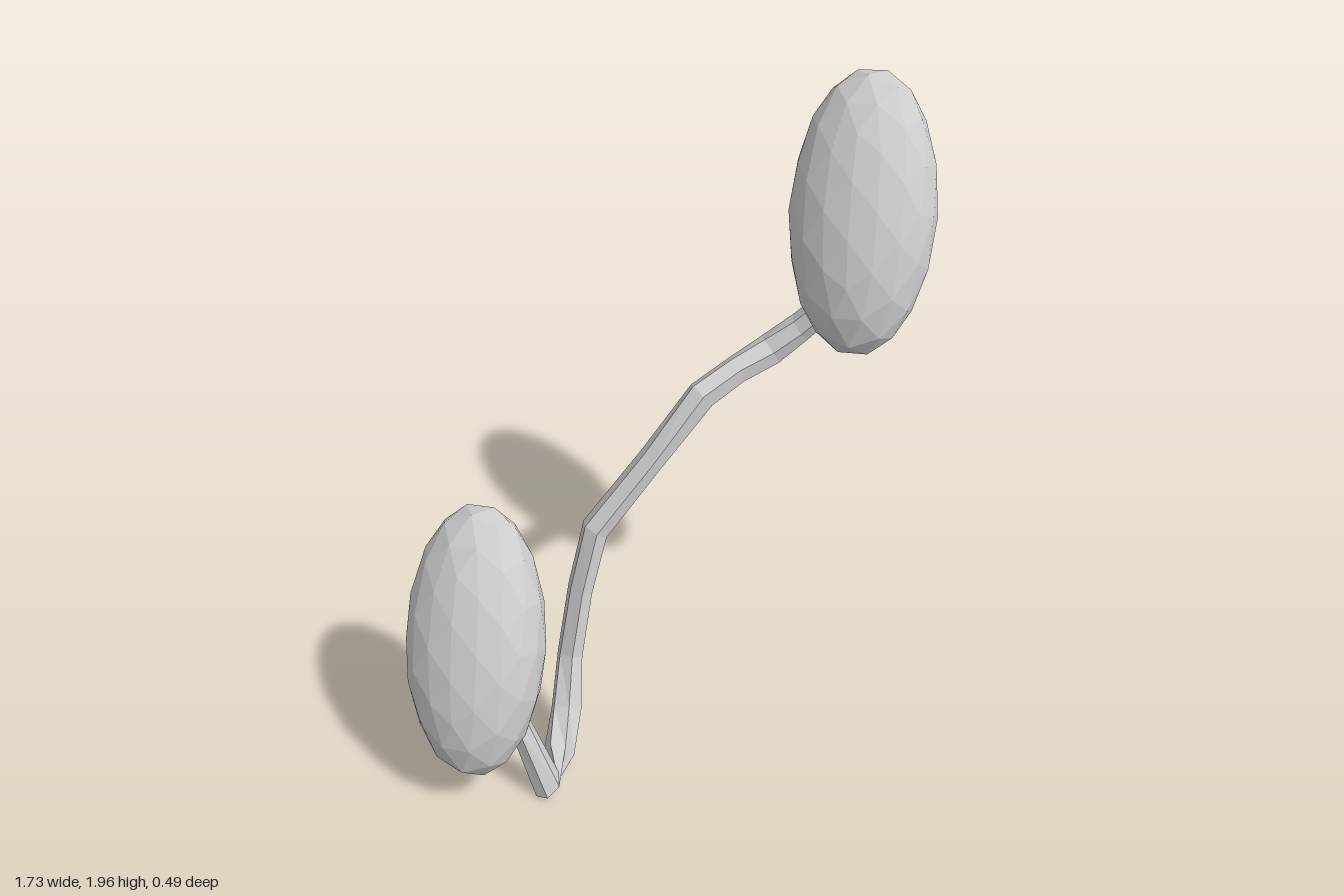
import * as THREE from 'three';

const material = new THREE.MeshStandardMaterial({ color: 0xcccccc, flatShading: true, side: THREE.DoubleSide });

// Faceted, slightly flattened ellipsoid tilted along its long axis
function lobe(name, x, y, z) {
  const long = new THREE.Vector3(0.267, 0.899, -0.346).normalize();
  const wide = new THREE.Vector3(0.635, 0.097, 0.766);
  const thin = new THREE.Vector3().crossVectors(wide, long).normalize();
  wide.crossVectors(long, thin);
  const geometry = new THREE.IcosahedronGeometry(1, 2);
  geometry.scale(0.219, 0.417, 0.16);
  geometry.applyMatrix4(new THREE.Matrix4().makeBasis(wide, long, thin));
  const mesh = new THREE.Mesh(geometry, material);
  mesh.name = name;
  mesh.position.set(x, y, z);
  return mesh;
}

// Stalk stations: x, y, z, in-plane radius, depth radius
const stations = [
  [-0.6, 0.4, 0.05, 0.035, 0.04],
  [-0.585, 0.27, 0.11, 0.035, 0.04],
  [-0.545, 0.07, 0.195, 0.05, 0.045],
  [-0.46, 0.095, 0.11, 0.055, 0.045],
  [-0.385, 0.17, 0.02, 0.05, 0.05],
  [-0.325, 0.31, -0.06, 0.037, 0.05],
  [-0.26, 0.52, -0.1, 0.035, 0.05],
  [-0.19, 0.71, -0.122, 0.04, 0.05],
  [0, 0.92, -0.1, 0.036, 0.047],
  [0.17, 1.1, -0.09, 0.05, 0.045],
  [0.29, 1.15, -0.09, 0.045, 0.045],
  [0.41, 1.19, -0.085, 0.045, 0.055],
  [0.49, 1.265, -0.045, 0.035, 0.05],
  [0.56, 1.36, 0.01, 0.03, 0.045],
];

// Six-sided stalk swept through the stations
function stalk() {
  const sides = 6;
  const points = stations.map(([x, y, z]) => new THREE.Vector3(x, y, z));
  const position = [];
  const index = [];
  const zAxis = new THREE.Vector3(0, 0, 1);
  points.forEach((p, i) => {
    const before = points[Math.max(i - 1, 0)];
    const after = points[Math.min(i + 1, points.length - 1)];
    const tangent = after.clone().sub(before).normalize();
    const normal = new THREE.Vector3().crossVectors(zAxis, tangent).normalize();
    const depth = new THREE.Vector3().crossVectors(tangent, normal);
    for (let j = 0; j < sides; j++) {
      const angle = (j / sides) * Math.PI * 2;
      const v = p.clone()
        .addScaledVector(normal, Math.cos(angle) * stations[i][3])
        .addScaledVector(depth, Math.sin(angle) * stations[i][4]);
      position.push(v.x, Math.max(v.y, 0), v.z);
      if (i < points.length - 1) {
        const a = i * sides + j;
        const b = i * sides + (j + 1) % sides;
        index.push(a, b, a + sides, b, b + sides, a + sides);
      }
    }
  });
  const geometry = new THREE.BufferGeometry();
  geometry.setAttribute('position', new THREE.Float32BufferAttribute(position, 3));
  geometry.setIndex(index);
  geometry.computeVertexNormals();
  const mesh = new THREE.Mesh(geometry, material);
  mesh.name = 'stalk';
  return mesh;
}

export function createModel() {
  const group = new THREE.Group();
  group.name = 'twoLobedStalk';
  group.add(
    lobe('upperLobe', 0.65, 1.625, 0.01),
    lobe('lowerLobe', -0.655, 0.545, -0.013),
    stalk(),
  );
  return group;
}
